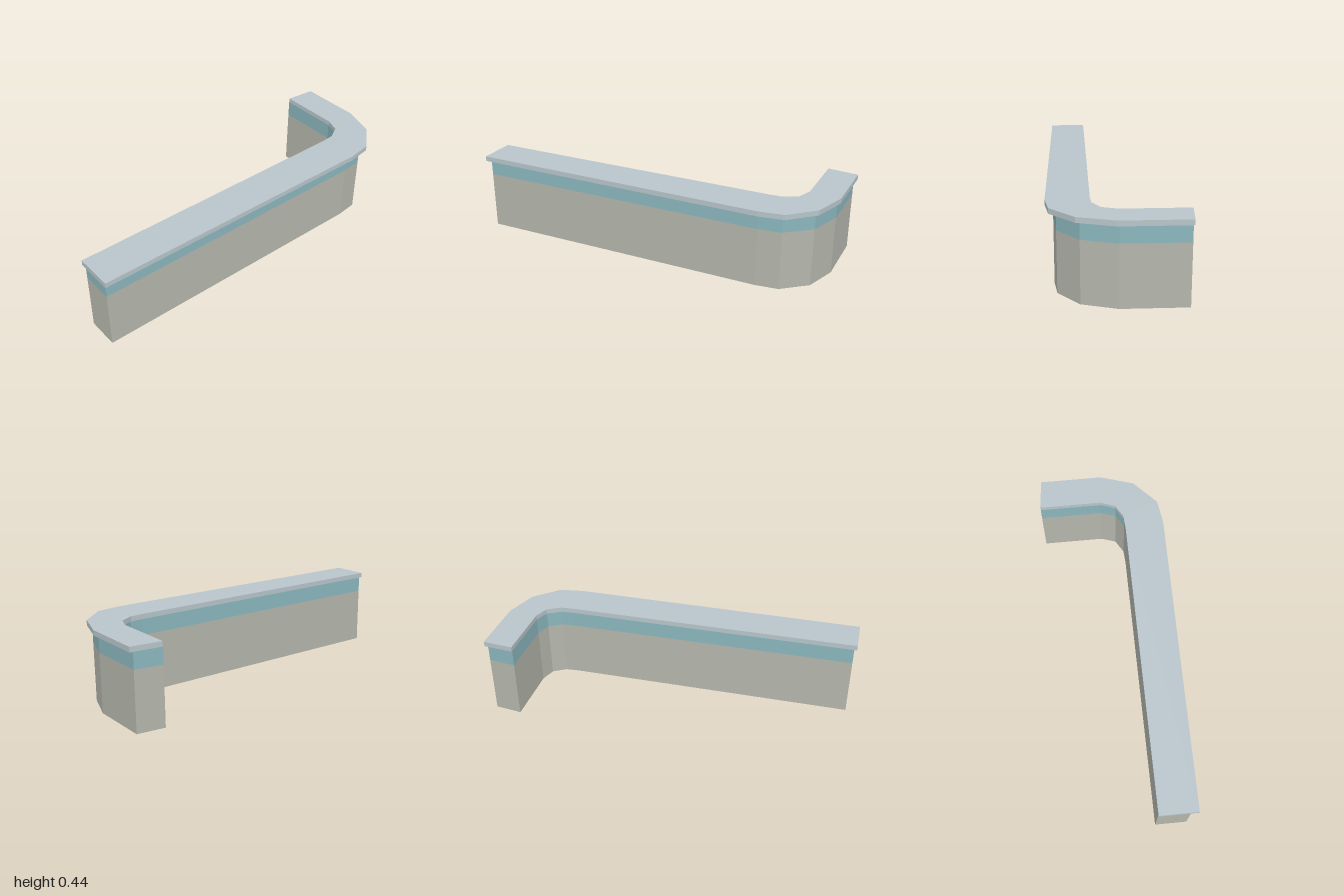
import * as THREE from 'three';

// Plan outlines as [x, z], clockwise seen from above
const WALL = [
  [-0.332, -0.98], [0.005, -0.98], [0.185, -0.92], [0.295, -0.785], [0.31, -0.66], [0.31, 0.985],
  [0.135, 0.985], [0.135, -0.65], [0.13, -0.725], [0.086, -0.8], [0, -0.828], [-0.351, -0.828],
];
const SLAB = [
  [-0.335, -1], [0.015, -1], [0.205, -0.94], [0.33, -0.805], [0.35, -0.67], [0.34, 1],
  [0.13, 1], [0.13, -0.65], [0.125, -0.725], [0.083, -0.8], [0, -0.83], [-0.352, -0.83],
];

function material(name, color, side = THREE.FrontSide) {
  const m = new THREE.MeshStandardMaterial({ color, side });
  m.name = name;
  return m;
}

// Open band of flat quads following a closed outline
function bandGeometry(outline, y0, y1) {
  const pos = [];
  outline.forEach(([ax, az], i) => {
    const [bx, bz] = outline[(i + 1) % outline.length];
    pos.push(ax, y0, az, ax, y1, az, bx, y1, bz);
    pos.push(ax, y0, az, bx, y1, bz, bx, y0, bz);
  });
  const g = new THREE.BufferGeometry();
  g.setAttribute('position', new THREE.Float32BufferAttribute(pos, 3));
  g.computeVertexNormals();
  return g;
}

export function createModel() {
  const group = new THREE.Group();
  group.name = 'curvedCounter';
  const add = (name, geometry, mat) => {
    const mesh = new THREE.Mesh(geometry, mat);
    mesh.name = name;
    group.add(mesh);
  };

  // Hollow body, open underneath, with a coloured band at the top
  add('bodyWall', bandGeometry(WALL, 0, 0.325), material('warm grey', 0xb4b6ac, THREE.DoubleSide));
  add('upperBand', bandGeometry(WALL, 0.325, 0.418), material('teal', 0x8ab6bd, THREE.DoubleSide));

  // Solid worktop
  const shape = new THREE.Shape(SLAB.map(([x, z]) => new THREE.Vector2(x, -z)));
  const slab = new THREE.ExtrudeGeometry(shape, { depth: 0.028, bevelEnabled: false });
  slab.rotateX(-Math.PI / 2).translate(0, 0.415, 0);
  add('worktop', slab, material('pale blue grey', 0xb8c5ca));

  return group;
}
